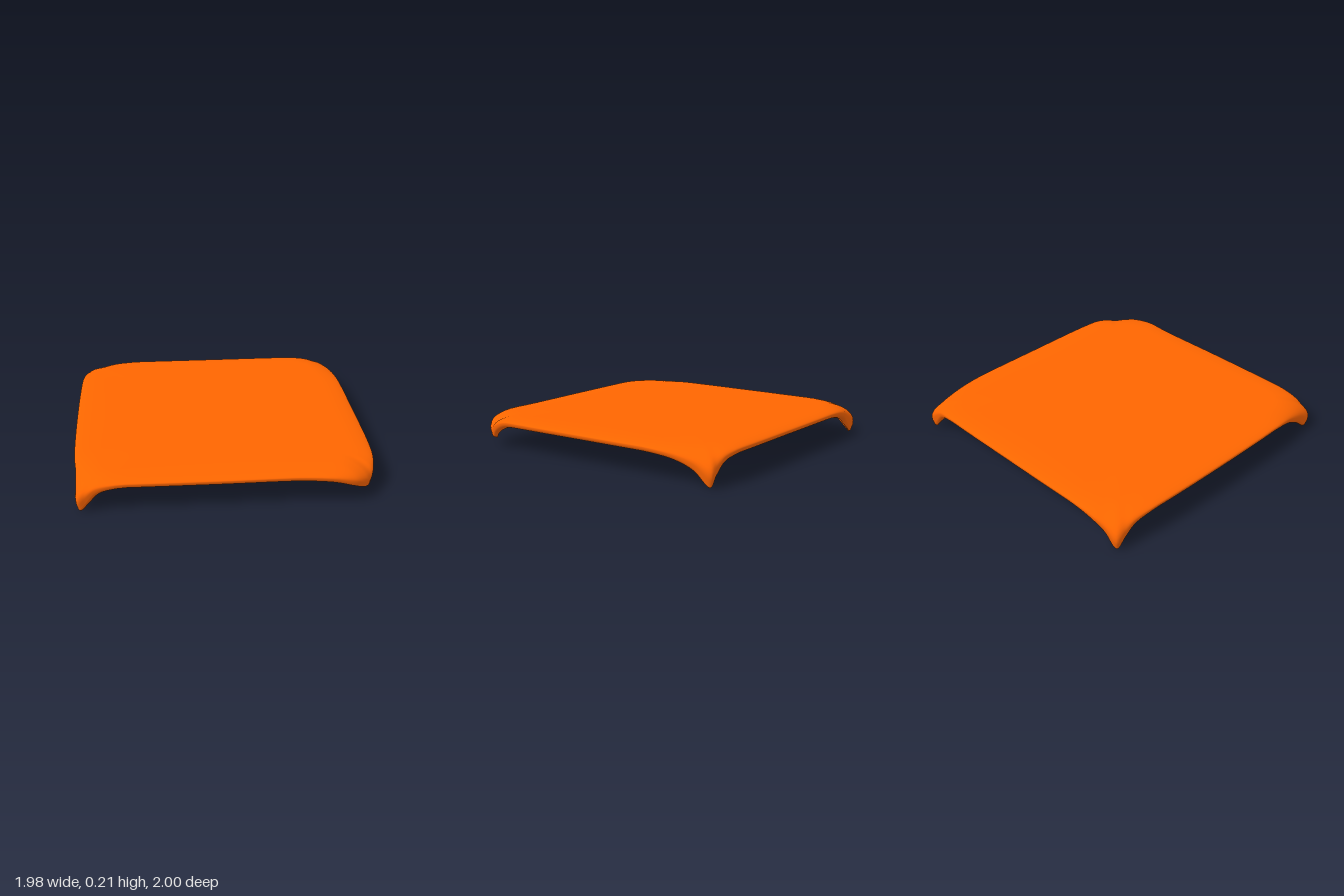
import * as THREE from 'three';

// Lower rim of the sheet, listed front -> left -> back -> right; it dips at the four corner tips
const RIM = [
  [-0.856, 0, 0.982], [-0.81, 0.05, 0.99], [-0.75, 0.115, 0.992], [-0.62, 0.152, 0.99],
  [0, 0.156, 0.955], [0.5, 0.156, 0.918], [0.72, 0.145, 0.915], [0.85, 0.105, 0.885],
  [0.92, 0.065, 0.825], [0.95, 0.055, 0.775], [0.972, 0.1, 0.73], [0.985, 0.145, 0.64],
  [0.983, 0.156, 0.45], [0.952, 0.156, 0], [0.905, 0.153, -0.58], [0.88, 0.13, -0.76],
  [0.86, 0.085, -0.88], [0.84, 0, -0.985], [0.79, 0.06, -0.99], [0.72, 0.125, -0.995],
  [0.6, 0.153, -0.998], [0, 0.156, -0.963], [-0.65, 0.153, -0.917], [-0.8, 0.125, -0.9],
  [-0.88, 0.08, -0.88], [-0.975, 0, -0.863], [-0.982, 0.06, -0.8], [-0.985, 0.12, -0.73],
  [-0.99, 0.153, -0.58], [-0.963, 0.156, 0], [-0.914, 0.153, 0.62], [-0.89, 0.125, 0.77],
  [-0.876, 0.07, 0.89],
];
const TOP = 0.213;
const BOTTOM = 0.156;
const FLAT_STEPS = 4;
const CURVE_STEPS = 12;

// Cross-section (radius, height) from the top centre, over the rounded rim and back along the underside
function crossSection(radius, rimY) {
  const drop = BOTTOM - rimY;
  const inset = 0.19 + 0.3 * drop;
  const underInset = 0.1 + 0.8 * drop;
  const width = 0.04 - 0.12 * drop;
  const height = 0.03 - 0.06 * drop;
  const v = (x, y) => new THREE.Vector2(x, y);
  const { lerp } = THREE.MathUtils;
  const upper = new THREE.CubicBezierCurve(
    v(radius - inset, TOP),
    v(radius - 0.4 * inset, TOP),
    v(radius * (1 + 0.3 * drop), lerp(TOP, rimY + height, 0.4)),
    v(radius, rimY + height),
  );
  const edge = new THREE.QuadraticBezierCurve(v(radius, rimY + height), v(radius, rimY), v(radius - width, rimY));
  const lower = new THREE.CubicBezierCurve(
    v(radius - width, rimY),
    v(radius - width - 0.01, lerp(rimY, BOTTOM, 0.6)),
    v(radius - Math.max(width + 0.02, 0.3 * underInset), BOTTOM),
    v(radius - underInset, BOTTOM),
  );
  const points = [];
  for (let i = 0; i < FLAT_STEPS; i++) points.push(v(((radius - inset) * i) / FLAT_STEPS, TOP));
  points.push(...upper.getPoints(CURVE_STEPS), ...edge.getPoints(6).slice(1), ...lower.getPoints(CURVE_STEPS).slice(1));
  for (let i = FLAT_STEPS - 1; i >= 0; i--) points.push(v(((radius - underInset) * i) / FLAT_STEPS, BOTTOM));
  return points;
}

function drapedSheet() {
  const curve = new THREE.CatmullRomCurve3(RIM.map((p) => new THREE.Vector3(...p)), true, 'centripetal');
  const around = RIM.length * 8;
  const positions = [];
  const index = [];
  for (let j = 0; j < around; j++) {
    const rim = curve.getPoint(j / around);
    const radius = Math.hypot(rim.x, rim.z);
    const section = crossSection(radius, THREE.MathUtils.clamp(rim.y, 0, BOTTOM));
    for (const p of section) positions.push((rim.x * p.x) / radius, p.y, (rim.z * p.x) / radius);
    const a = j * section.length;
    const b = ((j + 1) % around) * section.length;
    for (let i = 0; i < section.length - 1; i++) {
      index.push(a + i, a + i + 1, b + i + 1, a + i, b + i + 1, b + i);
    }
  }
  const geometry = new THREE.BufferGeometry();
  geometry.setAttribute('position', new THREE.Float32BufferAttribute(positions, 3));
  geometry.setIndex(index);
  geometry.computeVertexNormals();
  return geometry;
}

export function createModel() {
  const group = new THREE.Group();
  group.name = 'drapedCloth';
  const material = new THREE.MeshStandardMaterial({ color: 0xff6600 });
  const cloth = new THREE.Mesh(drapedSheet(), material);
  cloth.name = 'cloth';
  group.add(cloth);
  return group;
}
